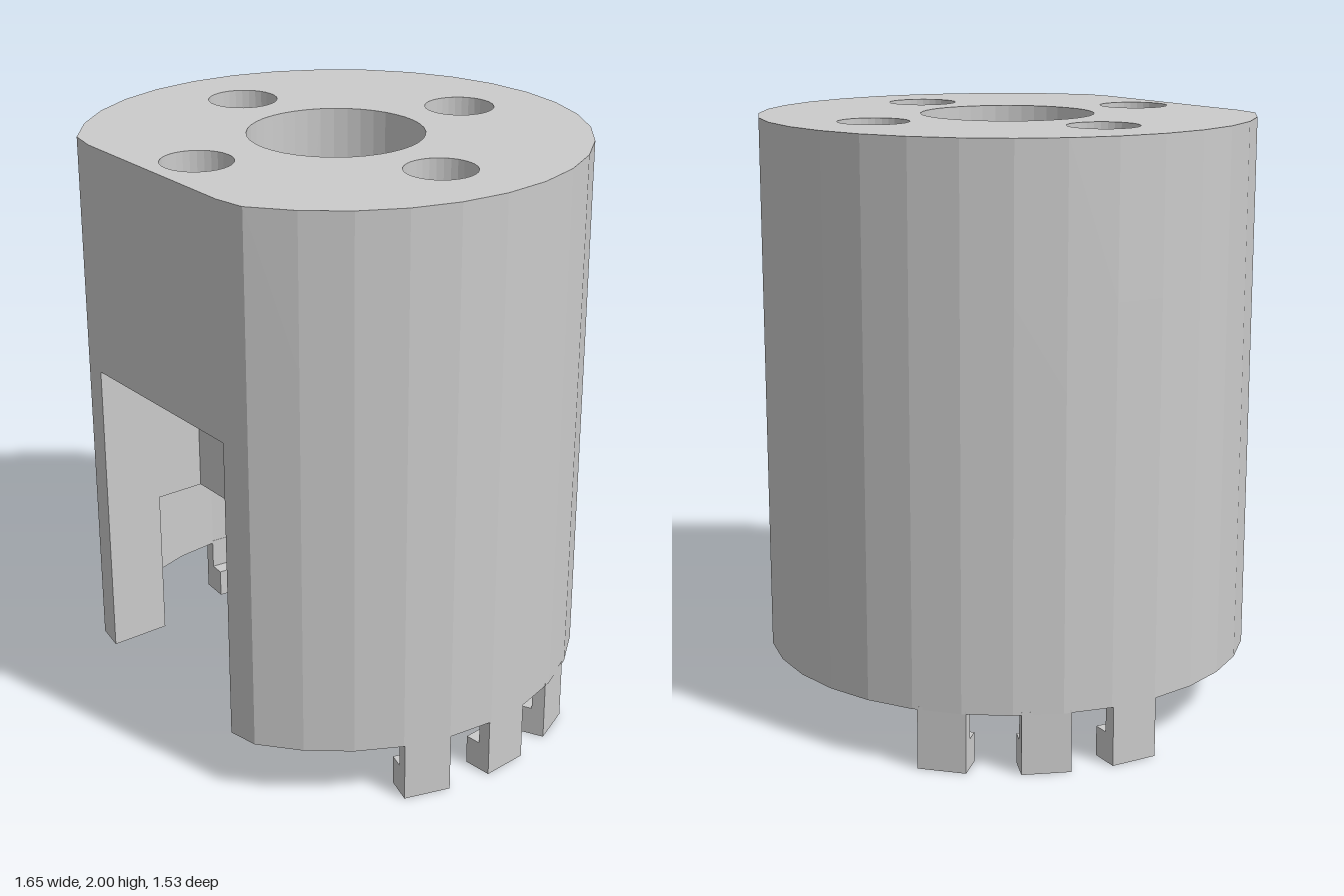
import * as THREE from 'three';

const material = new THREE.MeshStandardMaterial({ color: 0xcccccc, flatShading: true, side: THREE.DoubleSide });
const AXIS_Z = 0.06; // the round body's axis sits slightly forward
const R = 0.825, BORE = 0.288, FLAT = 0.705;
const STEP = Math.PI / 16;

const V = (x, z) => new THREE.Vector2(x, z);

// Points on an arc; angles are measured from the front (+z) towards +x.
function arc(r, from, to, n, cx = 0, cz = 0) {
  return Array.from({ length: n + 1 }, (_, i) => {
    const a = from + (to - from) * i / n;
    return V(cx + r * Math.sin(a), cz + r * Math.cos(a));
  });
}

const circle = (r, cx, cz, n = 40) => arc(r, 0, Math.PI * 2 * (1 - 1 / n), n - 1, cx, cz);

// Extrudes a plan outline between two heights.
function slab(name, outline, holes, bottom, top) {
  const shape = new THREE.Shape(outline);
  holes.forEach(h => shape.holes.push(new THREE.Path(h)));
  const geometry = new THREE.ExtrudeGeometry(shape, { depth: top - bottom, bevelEnabled: false });
  geometry.rotateX(Math.PI / 2).translate(0, top, 0);
  const mesh = new THREE.Mesh(geometry, material);
  mesh.name = name;
  return mesh;
}

// Bottom clip: thin stem with a thicker foot hooked inwards.
function clip(x, z) {
  const group = new THREE.Group();
  group.name = 'clip';
  for (const [name, depth, bottom, top] of [['clipStem', 0.045, 0.1, 0.21], ['clipFoot', 0.1, 0, 0.1]]) {
    const mesh = new THREE.Mesh(new THREE.BoxGeometry(0.16, top - bottom, depth), material);
    mesh.name = name;
    mesh.position.set(0, (top + bottom) / 2, 0.82 - depth / 2);
    group.add(mesh);
  }
  group.rotation.y = Math.atan2(x, z);
  return group;
}

export function createModel() {
  const model = new THREE.Group();
  model.name = 'housing';
  const body = new THREE.Group();
  body.name = 'body';
  body.position.z = AXIS_Z;
  model.add(body);

  // Round outline with a flat front
  const outer = [V(0.355, FLAT), ...arc(R, 3 * STEP, 29 * STEP, 26), V(-0.355, FLAT)];
  const bore = circle(BORE, 0, 0);
  const screwHoles = [[0, -0.52], [0, 0.535], [-0.52, 0], [0.52, 0]].map(([x, z]) => circle(0.116, x, z, 32));

  body.add(slab('topWithScrewHoles', outer, [bore, ...screwHoles], 1.5, 2));
  body.add(slab('upperBody', outer, [bore], 1.23, 1.5));

  // Front pocket in the solid middle
  body.add(slab('pocketBody', [...outer, V(-0.355, 0.33), V(0.355, 0.33)], [bore], 0.71, 1.23));

  // Hollow lower shell with the pocket's side and back walls
  const inR = 0.78, inFlat = 0.655;
  const a0 = Math.acos(inFlat / inR);
  const skirt = [
    ...outer,
    V(-0.355, 0.5), V(-0.4, 0.5), V(-0.4, inFlat),
    ...arc(inR, Math.PI * 2 - a0, a0, 26),
    V(0.4, inFlat), V(0.4, 0.288), V(0, 0.288), V(0, 0.33), V(0.355, 0.33),
  ];
  body.add(slab('lowerShell', skirt, [], 0.2, 0.71));

  // Inner tube with a slot in its front
  const slot = Math.PI * 2 - 0.58;
  const tube = [...arc(0.32, 0, slot, 38), ...arc(BORE, slot, 0, 38)];
  body.add(slab('innerTube', tube, [], 0.2, 0.71));

  // Clips under the rim
  const clips = [[0.785, 0.235], [0.82, -0.075], [0.74, -0.365], [-0.82, -0.075], [-0.74, -0.365], [-0.52, -0.61]];
  clips.forEach(([x, z]) => body.add(clip(x, z)));

  return model;
}
